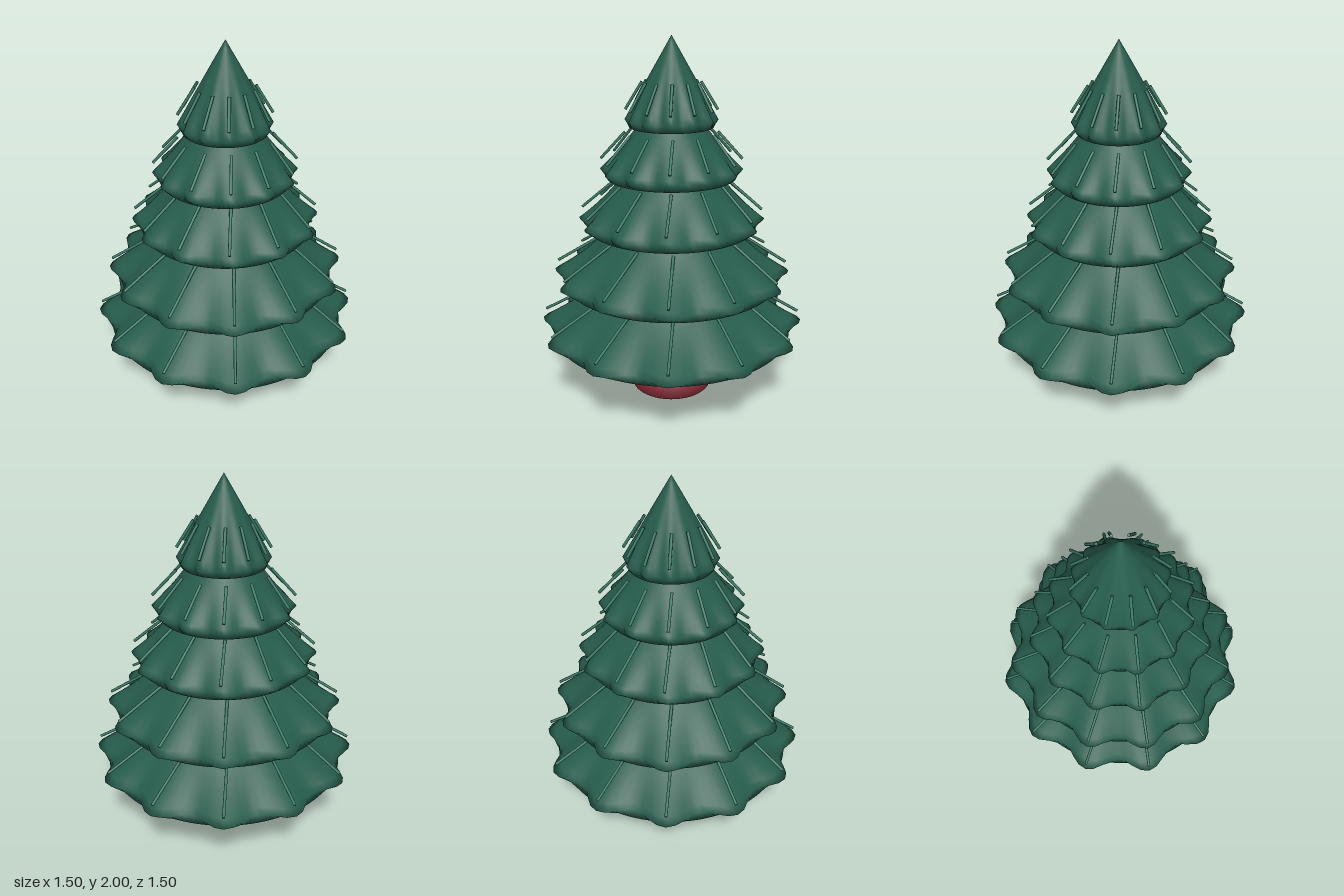
import * as THREE from 'three';
import { mergeVertices } from 'three/addons/utils/BufferGeometryUtils.js';

const LOBES = 12;
const LIFT = 0.037; // height of the pointed rim above the flat underside

const mat = (color) => new THREE.MeshStandardMaterial({ color });
const foliage = mat(0x265c4c);
const needle = mat(0x3a7a66);
const red = mat(0xb03a48);
const gold = mat(0xc49a4a);
const bark = mat(0x6b5548);

function add(parent, name, geometry, material) {
  const mesh = new THREE.Mesh(geometry, material);
  mesh.name = name;
  parent.add(mesh);
}

// Lathe whose rings are pulled in between the lobes; each ring is [radius, y, pull]
function scallopedLathe(rings) {
  let g = new THREE.LatheGeometry(rings.map(([r, y]) => new THREE.Vector2(r, y)), LOBES * 8);
  const p = g.attributes.position;
  for (let i = 0; i < p.count; i++) {
    const x = p.getX(i), z = p.getZ(i);
    const valley = (1 - Math.cos(LOBES * Math.atan2(x, z))) / 2;
    const s = 1 - rings[i % rings.length][2] * valley;
    p.setXYZ(i, x * s, p.getY(i), z * s);
  }
  g.deleteAttribute('normal');
  g.deleteAttribute('uv');
  g = mergeVertices(g, 1e-5);
  g.computeVertexNormals();
  return g;
}

// Thin rod between two points
function rod(a, b, radius) {
  const d = b.clone().sub(a);
  const g = new THREE.CylinderGeometry(radius, radius, d.length(), 8);
  g.applyQuaternion(new THREE.Quaternion().setFromUnitVectors(new THREE.Vector3(0, 1, 0), d.normalize()));
  const c = a.clone().add(b).multiplyScalar(0.5);
  return g.translate(c.x, c.y, c.z);
}

// One layer of branches: flat underside, scalloped rim, flared skirt and a ring of sprigs
function makeTier({ base, radius, top, topRadius, flare, sprig, turn }) {
  const tier = new THREE.Group();
  tier.name = 'branchTier';
  const rings = [[0, base, 0], [radius * 0.905, base, 0]];
  const steps = 12;
  for (let i = 0; i <= steps; i++) {
    const t = i / steps;
    const k = t + flare * t * (1 - t);
    const r = Math.max(radius + (topRadius - radius) * k, 0);
    rings.push([r, base + LIFT + (top - base - LIFT) * t, 0.12 * Math.pow(1 - t, 2.2)]);
  }
  add(tier, 'skirt', scallopedLathe(rings), foliage);

  const [r0, y0, r1, y1] = sprig;
  const at = (r, y, angle) => new THREE.Vector3(r * Math.sin(angle), y, r * Math.cos(angle));
  for (let i = 0; i < LOBES; i++) {
    const a = (i / LOBES) * Math.PI * 2 + turn;
    add(tier, 'sprig', rod(at(r0, y0, a), at(r1, y1, a + 0.05), 0.008), needle);
  }
  return tier;
}

export function createModel() {
  const tree = new THREE.Group();
  tree.name = 'pottedTree';

  // Pot with gold rim
  const pot = new THREE.Group();
  pot.name = 'pot';
  tree.add(pot);
  const potProfile = [[0, 0], [0.23, 0], [0.265, 0.19], [0, 0.19]].map(([r, y]) => new THREE.Vector2(r, y));
  add(pot, 'potBody', new THREE.LatheGeometry(potProfile, 48), red);
  add(pot, 'potRim', new THREE.TorusGeometry(0.265, 0.012, 12, 64).rotateX(Math.PI / 2).translate(0, 0.19, 0), gold);

  add(tree, 'trunk', new THREE.CylinderGeometry(0.085, 0.088, 0.4, 32).translate(0, 0.3, 0), bark);

  // Branch layers from bottom to top; sprig is outer radius, y, inner radius, y
  const tiers = [
    { base: 0.362, radius: 0.75, top: 0.69, topRadius: 0.36, flare: 0.5, sprig: [0.73, 0.455, 0.42, 0.625], turn: 0 },
    { base: 0.67, radius: 0.665, top: 1.0, topRadius: 0.32, flare: 0.5, sprig: [0.645, 0.76, 0.37, 0.93], turn: 0 },
    { base: 0.98, radius: 0.515, top: 1.28, topRadius: 0.255, flare: 0.35, sprig: [0.497, 1.075, 0.31, 1.235], turn: -0.03 },
    { base: 1.26, radius: 0.39, top: 1.55, topRadius: 0.17, flare: 0.2, sprig: [0.383, 1.355, 0.25, 1.5], turn: 0 },
    { base: 1.53, radius: 0.25, top: 2, topRadius: 0, flare: 0, sprig: [0.245, 1.62, 0.155, 1.765], turn: 0 },
  ];
  tiers.forEach((t) => tree.add(makeTier(t)));
  return tree;
}
